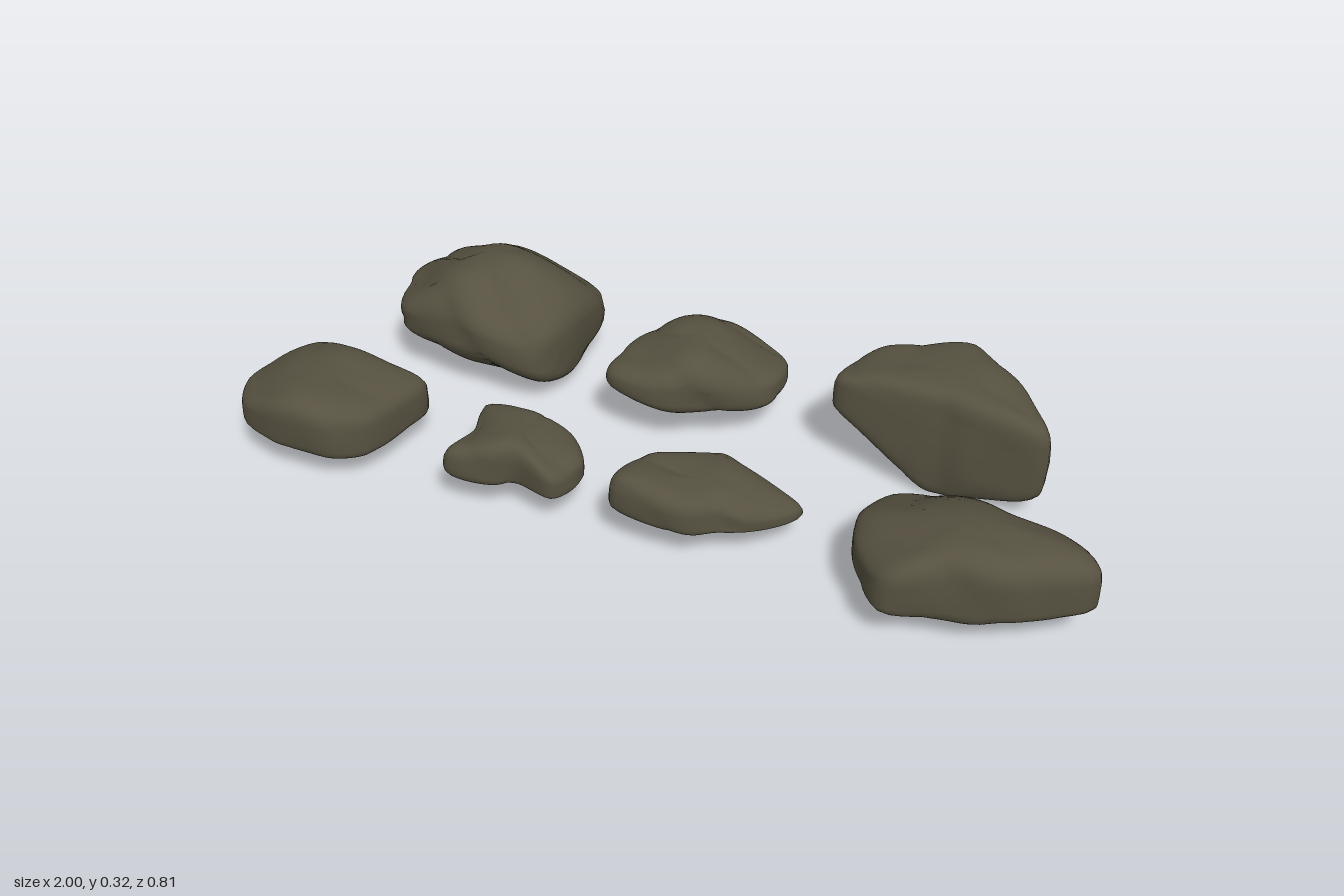
import * as THREE from 'three';
import { mergeVertices } from 'three/addons/utils/BufferGeometryUtils.js';

const COLUMNS = 64, RINGS = 28;

// Closed plan curve through radii spaced evenly around the rock, from +x towards +z
function planOutline(centre, turn, radii) {
  const points = radii.map((r, k) => {
    const angle = THREE.MathUtils.degToRad(turn) + (k / radii.length) * Math.PI * 2;
    return new THREE.Vector3(centre.x + r * Math.cos(angle), 0, centre.z + r * Math.sin(angle));
  });
  return new THREE.CatmullRomCurve3(points, true, 'catmullrom', 0.4).getSpacedPoints(COLUMNS).slice(0, COLUMNS);
}

// Height at t (0..1) along left end, middle and right end
function heightAt([left, middle, right], t) {
  return t < 0.5
    ? THREE.MathUtils.lerp(left, middle, THREE.MathUtils.smoothstep(t, 0, 0.5))
    : THREE.MathUtils.lerp(middle, right, THREE.MathUtils.smoothstep(t, 0.5, 1));
}

// Broad lumps with a few sharp creases
function lumps({ x, y, z }) {
  const broad = Math.sin(17 * x + 9 * z + 2) * Math.sin(19 * z - 11 * y) + 0.5 * Math.sin(31 * y + 23 * x - 14 * z);
  const crease = Math.abs(Math.sin(13 * x - 16 * z + 18 * y + Math.sin(14 * z + 9 * x)));
  return 0.6 * broad + 0.9 * (Math.sqrt(crease) - 0.8);
}

// round: 0.3 boxy .. 0.9 pointed; mid: share of height where the rock is widest;
// pinch: thinning towards the back and the front; tilt: fall of the top towards the back; rough: size of the lumps
function rockGeometry({ at, turn = 0, radii, top, under, mid = 0.4, round = 0.5, pinch = [0, 0], tilt = 0, rough }) {
  const centre = new THREE.Vector3(at[0], 0, at[1]);
  const outline = planOutline(centre, turn, radii);
  const extent = new THREE.Box3().setFromPoints(outline);
  const positions = [], index = [];
  for (let j = 0; j <= RINGS; j++) {
    const angle = Math.PI * (0.5 - j / RINGS);
    const spread = j % RINGS === 0 ? 0 : Math.pow(Math.cos(angle), round);
    const lift = Math.pow(Math.abs(Math.sin(angle)), round);
    for (let i = 0; i < COLUMNS; i++) {
      const p = centre.clone().lerp(outline[i], spread);
      const t = (p.x - extent.min.x) / (extent.max.x - extent.min.x);
      const dz = p.z - centre.z;
      const thin = dz < 0
        ? pinch[0] * (dz / (extent.min.z - centre.z)) ** 2
        : pinch[1] * (dz / (extent.max.z - centre.z)) ** 2;
      const low = heightAt(under, t);
      const high = heightAt(top, t) + tilt * Math.min(0, dz);
      const waist = THREE.MathUtils.lerp(low, high, mid);
      p.y = THREE.MathUtils.lerp(waist, angle > 0 ? high : low, lift * (1 - thin));
      // Push the surface in and out, never below the ground
      const n = rough * lumps(p);
      const out = outline[i].clone().sub(centre).normalize();
      p.addScaledVector(out, n * spread * (1 - lift * 0.5));
      p.y = Math.max(0, p.y + n * Math.sin(angle));
      positions.push(p.x, p.y, p.z);
      // Join each ring to the one below
      if (j < RINGS) {
        const a = j * COLUMNS + i, c = j * COLUMNS + (i + 1) % COLUMNS;
        const b = a + COLUMNS, d = c + COLUMNS;
        if (j > 0) index.push(a, c, d);
        if (j < RINGS - 1) index.push(a, d, b);
      }
    }
  }
  const geometry = new THREE.BufferGeometry();
  geometry.setAttribute('position', new THREE.Float32BufferAttribute(positions, 3));
  geometry.setIndex(index);
  const welded = mergeVertices(geometry, 1e-5);
  welded.computeVertexNormals();
  return welded;
}

export function createModel() {
  const stone = new THREE.MeshStandardMaterial({ color: 0x565140 });
  stone.name = 'olive stone';
  const model = new THREE.Group();
  model.name = 'rockSet';

  function addRock(name, shape) {
    const mesh = new THREE.Mesh(rockGeometry(shape), stone);
    mesh.name = name;
    model.add(mesh);
  }

  // Back row
  addRock('backRightRock', {
    at: [-0.6, -0.23], radii: [.24, .245, .19, .17, .215, .215, .225, .17, .165, .27],
    top: [.23, .33, .26], under: [.1, .04, .01], mid: 0.5, pinch: [0.55, 0.55], tilt: 0.1, rough: 0.013,
  });
  addRock('backMiddleRock', {
    at: [-0.03, -0.19], radii: [.18, .13, .13, .17, .23, .175, .145, .145, .16, .21],
    top: [.22, .25, .18], under: [.12, .08, .09], mid: 0.45, round: 0.55, pinch: [0.4, 0.3], rough: 0.011,
  });
  addRock('backLeftRock', {
    at: [0.57, -0.19], turn: 20, radii: [.25, .12, .09, .115, .27, .215, .165, .16, .135, .165],
    top: [.285, .3, .27], under: [.16, 0, .04], mid: 0.55, round: 0.38, rough: 0.007,
  });

  // Front row
  addRock('frontRightRock', {
    at: [-0.8, 0.23], turn: -32, radii: [.235, .18, .17, .155, .14, .155, .19, .2, .195, .18, .142, .155],
    top: [.18, .225, .19], under: [.085, .07, .06], round: 0.43, rough: 0.005,
  });
  addRock('smallFrontRightRock', {
    at: [-0.31, 0.23], radii: [.155, .15, .075, .1, .165, .115, .16, .1, .1, .13],
    top: [.18, .2, .16], under: [.09, .08, .075], round: 0.48, rough: 0.008,
  });
  addRock('smallFrontMiddleRock', {
    at: [0.13, 0.23], turn: -22, radii: [.215, .125, .085, .095, .12, .205, .16, .125, .13, .135],
    top: [.205, .185, .115], under: [.09, .08, .07], round: 0.52, rough: 0.008,
  });
  addRock('frontLeftRock', {
    at: [0.72, 0.22], turn: 5, radii: [.282, .19, .155, .152, .235, .24, .255, .255, .2, .155, .14, .21],
    top: [.2, .255, .235], under: [.08, .06, .08], round: 0.45, pinch: [0.5, 0.1], tilt: 0.25, rough: 0.007,
  });
  return model;
}
